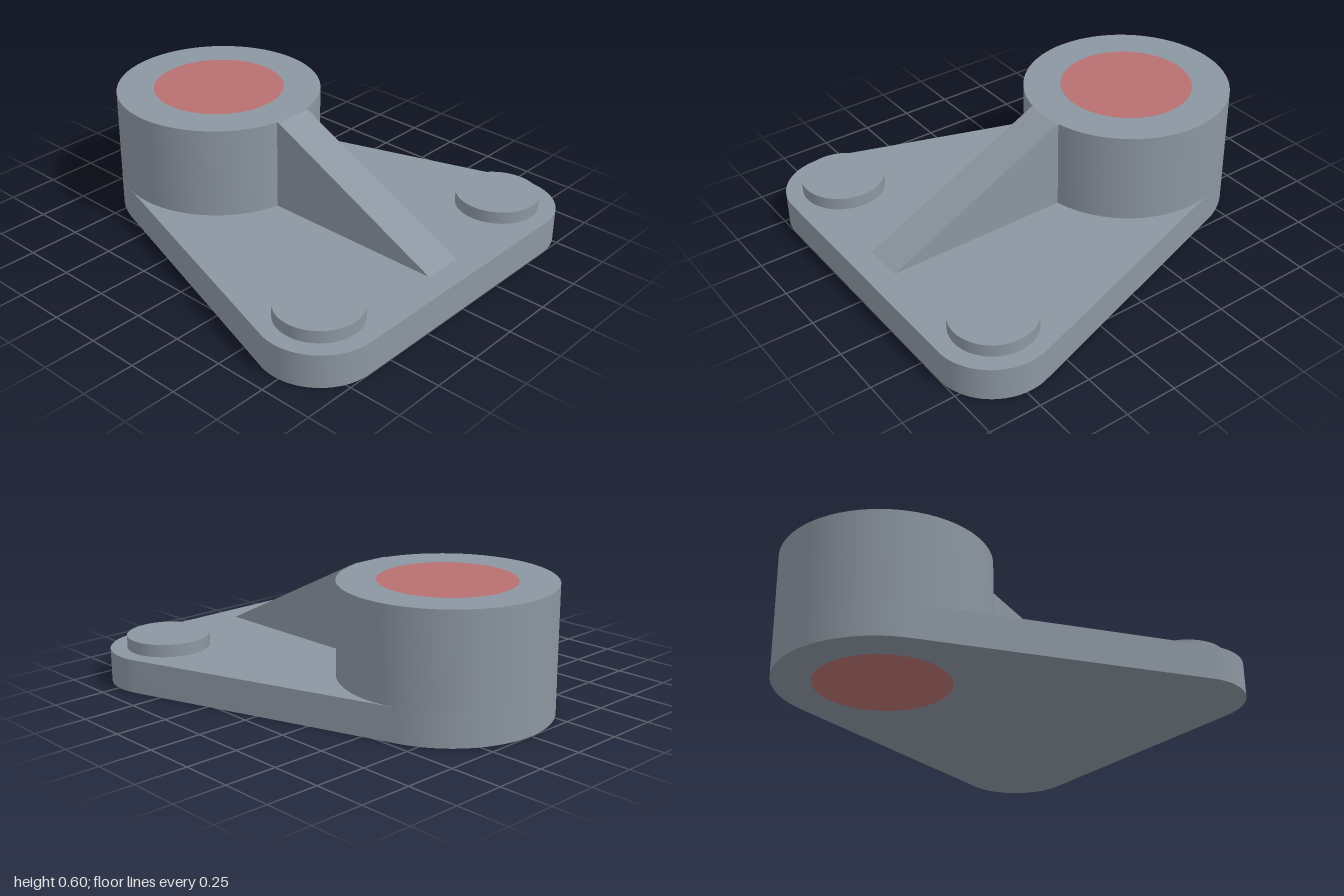
import * as THREE from 'three';
import { toCreasedNormals } from 'three/addons/utils/BufferGeometryUtils.js';

const PLATE_TOP = 0.16, BOSS_TOP = 0.6;
const BOSS_Z = -0.506, BOSS_R = 0.494, CORE_R = 0.315;
const CORNER_X = 0.633, CORNER_Z = 0.725, CORNER_R = 0.275;

export function createModel() {
  const steel = new THREE.MeshStandardMaterial({ color: 0x8c96a1 });
  steel.name = 'steel grey';
  const red = new THREE.MeshStandardMaterial({ color: 0xb87070 });
  red.name = 'muted red';

  const model = new THREE.Group();
  model.name = 'bracket';

  const add = (name, geometry, material, x = 0, y = 0, z = 0) => {
    const mesh = new THREE.Mesh(geometry, material);
    mesh.name = name;
    mesh.position.set(x, y, z);
    model.add(mesh);
  };

  // Extrudes a plan outline (shape y = -z) upward, with smooth curved walls
  const extrudeUp = (shape, depth) => toCreasedNormals(
    new THREE.ExtrudeGeometry(shape, { depth, bevelEnabled: false, curveSegments: 32 })
      .rotateX(-Math.PI / 2), 0.5);

  const coreHole = () => new THREE.Path().absarc(0, -BOSS_Z, CORE_R, 0, Math.PI * 2, true);

  // Base plate: tangent outline around the boss and two rounded corners
  const dx = CORNER_X, dy = BOSS_Z - CORNER_Z;
  const a = Math.atan2(dy, dx) + Math.acos((BOSS_R - CORNER_R) / Math.hypot(dx, dy));
  const outline = new THREE.Shape();
  outline.absarc(0, -BOSS_Z, BOSS_R, a, Math.PI - a, false);
  outline.absarc(-CORNER_X, -CORNER_Z, CORNER_R, Math.PI - a, Math.PI * 1.5, false);
  outline.absarc(CORNER_X, -CORNER_Z, CORNER_R, -Math.PI / 2, a, false);
  outline.closePath();
  outline.holes.push(coreHole());
  add('basePlate', extrudeUp(outline, PLATE_TOP), steel);

  // Tall round boss standing on the plate
  const ring = new THREE.Shape();
  ring.absarc(0, -BOSS_Z, BOSS_R, 0, Math.PI * 2, false);
  ring.holes.push(coreHole());
  add('boss', extrudeUp(ring, BOSS_TOP - PLATE_TOP), steel, 0, PLATE_TOP, 0);

  // Red core, flush with the boss top and the underside
  add('bossCore', new THREE.CylinderGeometry(CORE_R, CORE_R, BOSS_TOP, 64),
    red, 0, BOSS_TOP / 2, BOSS_Z);

  // Triangular rib sloping from the boss down to the plate
  const ribWidth = 0.196;
  const profile = new THREE.Shape([
    [-0.05, PLATE_TOP], [0.88, PLATE_TOP], [-0.012, BOSS_TOP], [-0.05, BOSS_TOP],
  ].map(([z, y]) => new THREE.Vector2(z, y)));
  const rib = new THREE.ExtrudeGeometry(profile, { depth: ribWidth, bevelEnabled: false });
  rib.rotateY(-Math.PI / 2);
  add('rib', rib, steel, ribWidth / 2, 0, 0);

  // Low round pads on the front corners
  for (const [name, side] of [['leftPad', 1], ['rightPad', -1]]) {
    add(name, new THREE.CylinderGeometry(0.197, 0.197, 0.06, 64), steel,
      side * CORNER_X, PLATE_TOP + 0.03, CORNER_Z - 0.003);
  }

  return model;
}
